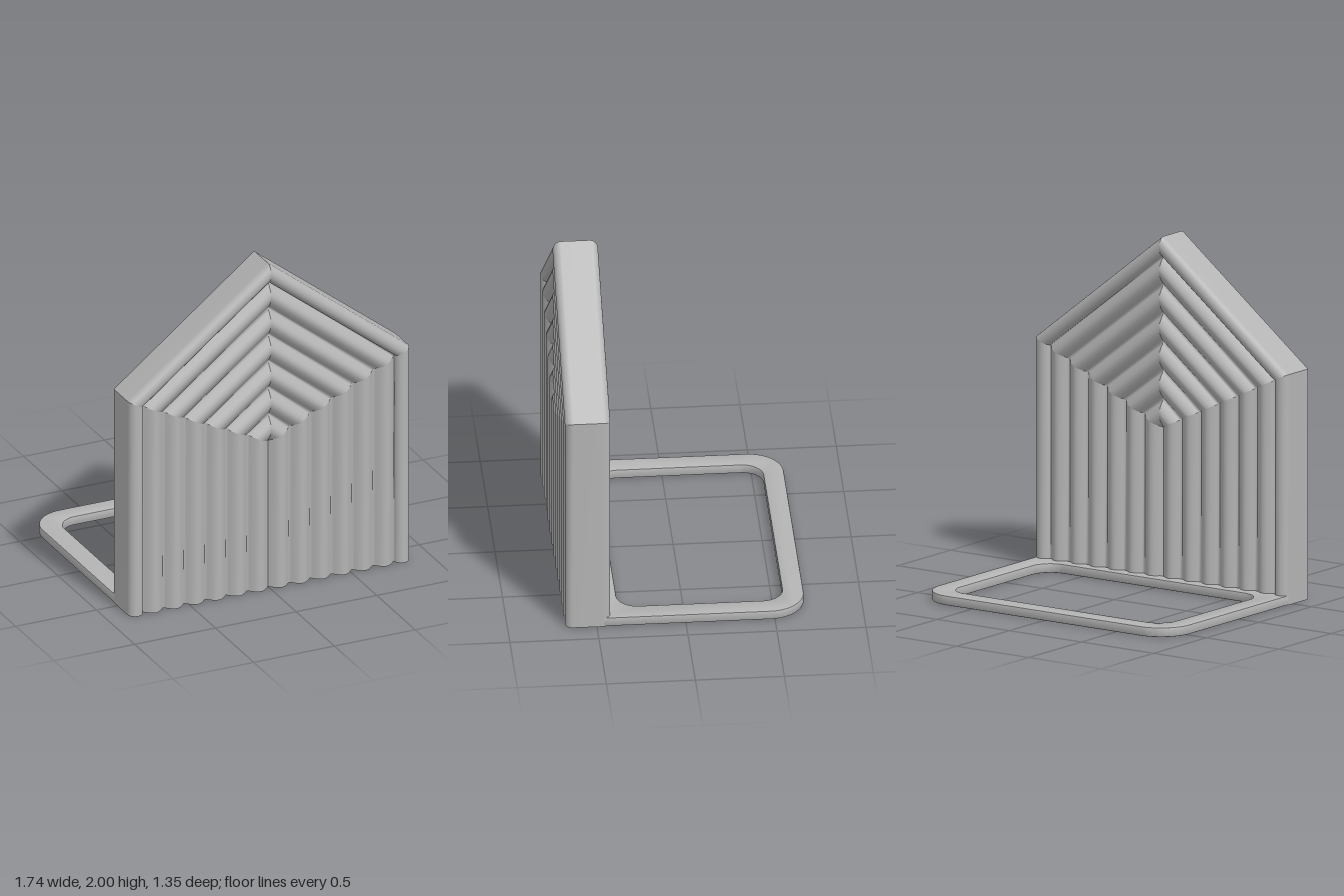
import * as THREE from 'three';
import { toCreasedNormals } from 'three/addons/utils/BufferGeometryUtils.js';

const HALF = 0.87, RIB = 0.13, DEPTH = 0.045, R = 0.045;
const THICK = 0.1275, CENTRE_Z = 0.5495;

// Cross-section from the centre line out to the edge and back: [distance, z]
function ribProfile() {
  const front = [];
  for (let k = 0; k < 6; k++) {
    for (let i = 0; i < 12; i++) {
      const u = i / 12;
      front.push([(k + u) * RIB, THICK - DEPTH * (1 - Math.sin(Math.PI * u))]);
    }
  }
  // narrower outer rib, half round, ending in the flat side
  for (let i = 0; i <= 12; i++) {
    const a = Math.PI * (1 - i / 12);
    front.push([HALF - R + R * Math.cos(a), THICK - R + R * Math.sin(a)]);
  }
  const back = front.map(([d, z]) => [d, -z]).reverse();
  return [...front, ...back];
}

// Nested house outlines: every one is the path at a distance d from the centre
const bottom = (s) => (d) => [s * d, 0];
const shoulder = (s) => (d) => [s * d, 0.905 + 0.415 * d / HALF];
const apex = (d) => [0, 0.905 + 1.095 * d / HALF];

// Ribbed panel swept between two mitre lines
function panel(profile, from, to) {
  const pos = [], index = [];
  profile.forEach(([d, z]) => {
    pos.push(...from(d), z + CENTRE_Z, ...to(d), z + CENTRE_Z);
  });
  for (let i = 0; i < profile.length - 1; i++) {
    const a = 2 * i, b = a + 2;
    index.push(a, b, b + 1, a, b + 1, a + 1);
  }
  const g = new THREE.BufferGeometry();
  g.setAttribute('position', new THREE.Float32BufferAttribute(pos, 3));
  g.setIndex(index);
  g.computeVertexNormals();
  return g;
}

// Rounded rectangle; the front corners (low y) have their own radius
function roundedRect(path, w, y0, y1, r, rf) {
  path.moveTo(-w + rf, y0);
  path.lineTo(w - rf, y0);
  if (rf) path.absarc(w - rf, y0 + rf, rf, -Math.PI / 2, 0);
  path.lineTo(w, y1 - r);
  path.absarc(w - r, y1 - r, r, 0, Math.PI / 2);
  path.lineTo(-w + r, y1);
  path.absarc(-w + r, y1 - r, r, Math.PI / 2, Math.PI);
  path.lineTo(-w, y0 + rf);
  if (rf) path.absarc(-w + rf, y0 + rf, rf, Math.PI, Math.PI * 1.5);
  return path;
}

export function createModel() {
  const model = new THREE.Group();
  model.name = 'bookend';
  const grey = new THREE.MeshStandardMaterial({ color: 0xb4b4b4 });
  grey.name = 'grey';
  const add = (parent, name, geometry) => {
    const mesh = new THREE.Mesh(geometry, grey);
    mesh.name = name;
    parent.add(mesh);
    return mesh;
  };

  // Upright, house-shaped ribbed plate
  const upright = new THREE.Group();
  upright.name = 'uprightPlate';
  model.add(upright);
  const profile = ribProfile();
  add(upright, 'leftWall', panel(profile, bottom(1), shoulder(1)));
  add(upright, 'leftRoof', panel(profile, shoulder(1), apex));
  add(upright, 'rightRoof', panel(profile, apex, shoulder(-1)));
  add(upright, 'rightWall', panel(profile, shoulder(-1), bottom(-1)));

  // Underside of the plate
  const outline = [
    ...profile.map(([d, z]) => new THREE.Vector2(d, z)),
    ...profile.slice(1, -1).reverse().map(([d, z]) => new THREE.Vector2(-d, z)),
  ].filter((p, i, all) => i === 0 || p.distanceTo(all[i - 1]) > 1e-6);
  const sole = add(upright, 'underside', new THREE.ShapeGeometry(new THREE.Shape(outline)).rotateX(Math.PI / 2));
  sole.position.z = CENTRE_Z;

  // Flat open base frame
  const frame = roundedRect(new THREE.Shape(), HALF, -0.46, 0.677, 0.2, 0);
  frame.holes.push(roundedRect(new THREE.Path(), 0.748, -0.372, 0.56, 0.12, 0.12));
  const bevel = 0.008;
  const base = new THREE.ExtrudeGeometry(frame, {
    depth: 0.055 - 2 * bevel, bevelThickness: bevel, bevelSize: bevel,
    bevelOffset: -bevel, bevelSegments: 2, curveSegments: 16,
  });
  base.translate(0, 0, bevel).rotateX(-Math.PI / 2);
  add(model, 'baseFrame', toCreasedNormals(base, 0.5));

  return model;
}
